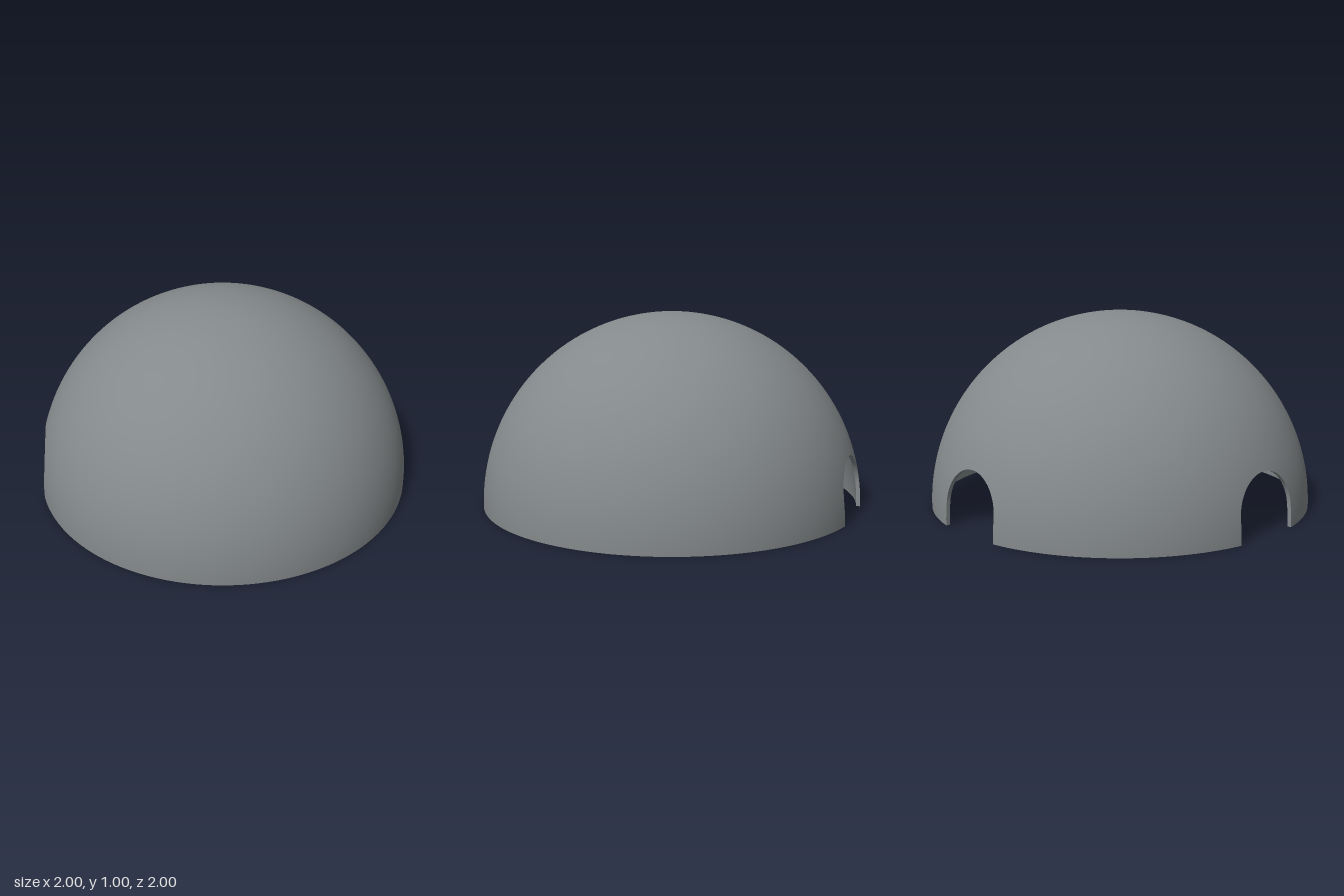
import * as THREE from 'three';

const OUTER = 1, INNER = 0.98;                  // shell radii
const HALF = 0.19, SPRING = 0.115;              // doorway half width, height where the arch begins
const BAND = 0.4;                               // height above which the columns run straight to the pole
const DOORS = [-140, -50].map(THREE.MathUtils.degToRad);
const ARCH_STEPS = 32, EXTRA = 4, MID = 12, CAP = 32;

// Azimuth of the vertical plane at sideways offset s from a doorway axis
function planeAzimuth(axis, s, y, R) {
  const h = Math.min(y, BAND);
  return axis + Math.asin(s / Math.sqrt(R * R - h * h));
}

// Columns around the dome: each knows its azimuth and where its wall begins
function makeColumns() {
  const columns = [];
  DOORS.forEach((axis, d) => {
    for (let i = 0; i <= ARCH_STEPS; i++) {
      const t = (i / ARCH_STEPS - 0.5) * Math.PI;
      const s = HALF * Math.sin(t);
      columns.push({
        azimuth: (y, R) => planeAzimuth(axis, s, y, R),
        start: SPRING + HALF * Math.cos(t),
        inDoor: i < ARCH_STEPS,
        edge: i === 0 ? 'left' : i === ARCH_STEPS ? 'right' : null,
      });
    }
    const next = d === 0 ? DOORS[1] : DOORS[0] + Math.PI * 2;
    const steps = Math.round((next - axis) / (Math.PI * 2) * 120);
    for (let i = 1; i < steps; i++) {
      columns.push({
        azimuth: (y, R) => THREE.MathUtils.lerp(
          planeAzimuth(axis, HALF, y, R), planeAzimuth(next, -HALF, y, R), i / steps),
        start: SPRING, inDoor: false, edge: null,
      });
    }
  });
  return columns;
}

function pointAt(column, y, R) {
  const a = column.azimuth(y, R), r = Math.sqrt(Math.max(0, R * R - y * y));
  return new THREE.Vector3(Math.sin(a) * r, y, Math.cos(a) * r);
}

// Height of a row: wall foot, doorway band, then cap
function rowHeight(column, row, R) {
  if (row < EXTRA) return SPRING * row / EXTRA;
  if (row <= EXTRA + MID) return THREE.MathUtils.lerp(column.start, BAND, (row - EXTRA) / MID);
  const low = Math.asin(BAND / R);
  return R * Math.sin(THREE.MathUtils.lerp(low, Math.PI / 2, (row - EXTRA - MID) / CAP));
}

function quad(list, a, b, c, d) {
  list.push(a, b, c, a, c, d);
}

// One spherical skin with the doorways left open
function skinGeometry(columns, R, inward) {
  const points = [];
  columns.forEach((left, i) => {
    const right = columns[(i + 1) % columns.length];
    for (let row = left.inDoor ? EXTRA : 0; row < EXTRA + MID + CAP; row++) {
      const corner = (c, k) => pointAt(c, rowHeight(c, k, R), R);
      const q = [corner(left, row), corner(right, row), corner(right, row + 1), corner(left, row + 1)];
      if (inward) q.reverse();
      quad(points, ...q);
    }
  });
  const geometry = new THREE.BufferGeometry().setFromPoints(points);
  const sign = inward ? -1 : 1;
  const normals = points.flatMap(p => p.clone().normalize().multiplyScalar(sign).toArray());
  geometry.setAttribute('normal', new THREE.Float32BufferAttribute(normals, 3));
  return geometry;
}

// Shell thickness: base ring or arch reveals
function edgeGeometry(columns, forDoors) {
  const points = [];
  columns.forEach((left, i) => {
    const right = columns[(i + 1) % columns.length];
    if (left.inDoor === forDoors) {
      const yl = forDoors ? left.start : 0, yr = forDoors ? right.start : 0;
      quad(points, pointAt(left, yl, OUTER), pointAt(left, yl, INNER),
        pointAt(right, yr, INNER), pointAt(right, yr, OUTER));
    }
    // Upright jambs of the doorway
    if (forDoors && left.edge) {
      for (let k = 0; k < EXTRA; k++) {
        const y0 = SPRING * k / EXTRA, y1 = SPRING * (k + 1) / EXTRA;
        const q = [pointAt(left, y0, OUTER), pointAt(left, y0, INNER),
          pointAt(left, y1, INNER), pointAt(left, y1, OUTER)];
        if (left.edge === 'right') q.reverse();
        quad(points, ...q);
      }
    }
  });
  const geometry = new THREE.BufferGeometry().setFromPoints(points);
  geometry.computeVertexNormals();
  return geometry;
}

export function createModel() {
  const grey = new THREE.MeshStandardMaterial({ color: 0x84898b });
  grey.name = 'dome grey';
  const group = new THREE.Group();
  group.name = 'dome';
  const columns = makeColumns();
  const add = (name, geometry) => {
    const mesh = new THREE.Mesh(geometry, grey);
    mesh.name = name;
    group.add(mesh);
  };
  add('outerShell', skinGeometry(columns, OUTER, false));
  add('innerShell', skinGeometry(columns, INNER, true));
  add('baseRim', edgeGeometry(columns, false));
  add('doorwayReveals', edgeGeometry(columns, true));
  return group;
}
